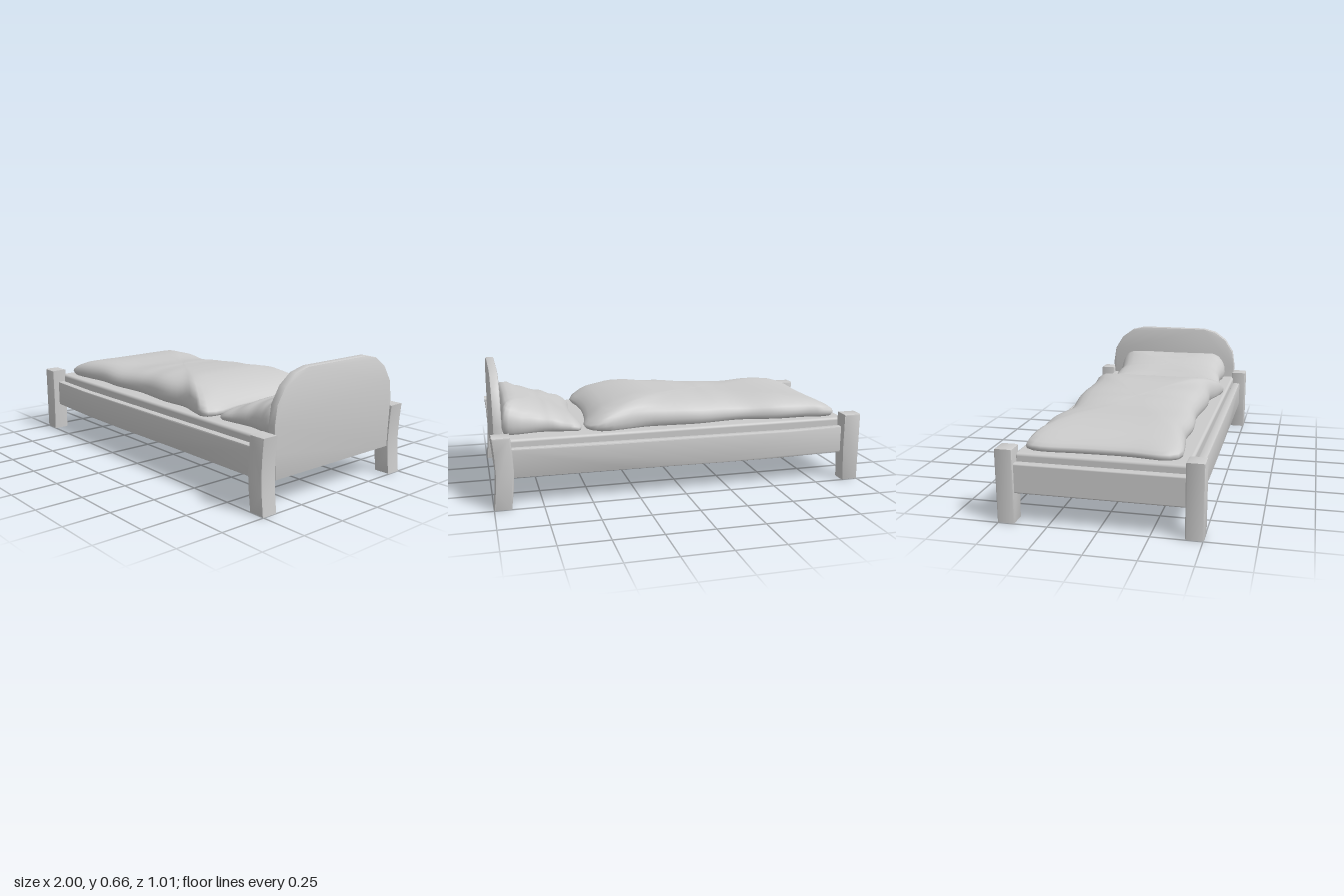
import * as THREE from 'three';
import { toCreasedNormals, mergeVertices } from 'three/addons/utils/BufferGeometryUtils.js';
import { RoundedBoxGeometry } from 'three/addons/geometries/RoundedBoxGeometry.js';

const material = new THREE.MeshStandardMaterial({ color: 0xcccccc });

function add(group, name, geometry, x = 0, y = 0, z = 0) {
  const mesh = new THREE.Mesh(geometry, material);
  mesh.name = name;
  mesh.position.set(x, y, z);
  group.add(mesh);
  return mesh;
}

// Bevelled board cut from an outline, centred on its thickness; the bevel stays inside the outline.
function board(points, thickness, bevel = 0.008) {
  const shape = new THREE.Shape(points.map(([x, y]) => new THREE.Vector2(x, y)));
  const geometry = new THREE.ExtrudeGeometry(shape, {
    depth: thickness - 2 * bevel, bevelEnabled: true, bevelSize: bevel,
    bevelThickness: bevel, bevelOffset: -bevel, bevelSegments: 2,
  });
  geometry.translate(0, 0, bevel - thickness / 2);
  return toCreasedNormals(geometry, 0.6);
}

// Linear interpolation through [position, value] pairs.
function sample(pairs, x) {
  for (let i = 1; i < pairs.length; i++) {
    const [x0, y0] = pairs[i - 1], [x1, y1] = pairs[i];
    if (x <= x1) return y0 + (y1 - y0) * THREE.MathUtils.smoothstep(x, x0, x1);
  }
  return pairs[pairs.length - 1][1];
}

// Stuffed cloth: a wavy outline shrunk ring by ring over a rounded section.
function cushion(outline, heights, base) {
  const sides = 96;
  const curve = new THREE.CatmullRomCurve3(
    outline.map(([x, z]) => new THREE.Vector3(x, 0, z)), true);
  const rim = curve.getSpacedPoints(sides).slice(0, sides);
  const box = new THREE.Box3().setFromPoints(rim);
  const center = box.getCenter(new THREE.Vector3());
  const section = [
    [0.001, 0], [0.95, 0], [0.985, 0.1], [1, 0.26], [0.992, 0.42], [0.965, 0.57],
    [0.92, 0.7], [0.85, 0.81], [0.75, 0.89], [0.6, 0.95], [0.45, 0.98],
    [0.3, 1], [0.15, 1], [0.001, 1],
  ];
  const positions = [], index = [];
  section.forEach(([scale, rise], ring) => {
    rim.forEach((p, i) => {
      const x = center.x + (p.x - center.x) * scale;
      const z = center.z + (p.z - center.z) * scale;
      positions.push(x, base + rise * (sample(heights, x) - base), z);
      if (ring === 0) return;
      const next = (i + 1) % sides;
      const a = (ring - 1) * sides + i, b = (ring - 1) * sides + next;
      const c = ring * sides + i, d = ring * sides + next;
      index.push(a, c, b, b, c, d);
    });
  });
  const geometry = new THREE.BufferGeometry();
  geometry.setAttribute('position', new THREE.Float32BufferAttribute(positions, 3));
  geometry.setIndex(index);
  const merged = mergeVertices(geometry, 1e-5);
  merged.computeVertexNormals();
  return merged;
}

export function createModel() {
  const bed = new THREE.Group();
  bed.name = 'bed';

  // Corner posts: straight at the foot, gently bowed at the head
  const footPost = [[-0.998, 0], [-0.91, 0], [-0.903, 0.18], [-0.905, 0.375], [-1, 0.375]];
  const headPost = [
    [0.912, 0], [1, 0], [0.99, 0.1], [0.986, 0.19], [0.99, 0.29], [0.998, 0.375],
    [0.906, 0.375], [0.898, 0.29], [0.894, 0.19], [0.9, 0.1],
  ];
  for (const side of [1, -1]) {
    const name = side > 0 ? 'front' : 'back';
    add(bed, name + 'FootPost', board(footPost, 0.09), 0, 0, side * 0.46);
    add(bed, name + 'HeadPost', board(headPost, 0.09), 0, 0, side * 0.46);

    // Side rail with a slightly sagging lower edge
    const rail = [
      [-0.94, 0.155], [-0.55, 0.146], [-0.2, 0.146], [0.3, 0.151], [0.94, 0.153],
      [0.94, 0.305], [0.4, 0.302], [-0.6, 0.296], [-0.94, 0.302],
    ];
    add(bed, name + 'SideRail', board(rail, 0.045), 0, 0, side * 0.447);
  }

  // Foot rail
  add(bed, 'footRail', new RoundedBoxGeometry(0.045, 0.15, 0.88, 2, 0.008), -0.964, 0.227, 0);

  // Arched headboard, drawn for one side and mirrored
  const half = [
    [0.412, 0.152], [0.416, 0.28], [0.425, 0.41], [0.41, 0.51],
    [0.36, 0.59], [0.29, 0.642], [0.21, 0.662],
  ];
  const arch = [...half, ...half.map(([z, y]) => [-z, y]).reverse()];
  add(bed, 'headboard', board(arch, 0.045), 0.962, 0, 0).rotation.y = Math.PI / 2;

  // Mattress, its underside just above the rails' lower edge
  add(bed, 'mattress', new RoundedBoxGeometry(1.885, 0.182, 0.85, 3, 0.015), 0, 0.251, 0);

  // Quilt
  const quiltOutline = [
    [-0.89, -0.385], [-0.74, -0.375], [-0.58, -0.375], [-0.36, -0.338], [-0.1, -0.367],
    [0.08, -0.36], [0.2, -0.358], [0.36, -0.388], [0.45, -0.395], [0.505, -0.33],
    [0.485, -0.15], [0.473, 0.02], [0.48, 0.2], [0.497, 0.34], [0.47, 0.41],
    [0.38, 0.395], [0.25, 0.36], [0.08, 0.368], [-0.2, 0.344], [-0.42, 0.362],
    [-0.6, 0.352], [-0.75, 0.372], [-0.88, 0.374], [-0.92, 0.32], [-0.905, 0.12],
    [-0.908, -0.12], [-0.915, -0.33],
  ];
  const quiltHeights = [
    [-0.93, 0.425], [-0.75, 0.455], [-0.6, 0.462], [-0.4, 0.452], [-0.2, 0.468],
    [0, 0.484], [0.22, 0.496], [0.38, 0.47], [0.52, 0.41],
  ];
  add(bed, 'quilt', cushion(quiltOutline, quiltHeights, 0.338));

  // Pillow, rising towards the headboard
  const pillowOutline = [
    [0.54, -0.345], [0.63, -0.335], [0.74, -0.322], [0.86, -0.342], [0.925, -0.34],
    [0.937, -0.26], [0.935, 0], [0.937, 0.24], [0.935, 0.34], [0.89, 0.368],
    [0.74, 0.352], [0.62, 0.364], [0.54, 0.365], [0.52, 0.3], [0.535, 0.12],
    [0.538, -0.08], [0.52, -0.29],
  ];
  const pillowHeights = [
    [0.5, 0.38], [0.6, 0.42], [0.7, 0.46], [0.82, 0.495], [0.88, 0.525], [0.94, 0.56],
  ];
  add(bed, 'pillow', cushion(pillowOutline, pillowHeights, 0.338));

  return bed;
}
